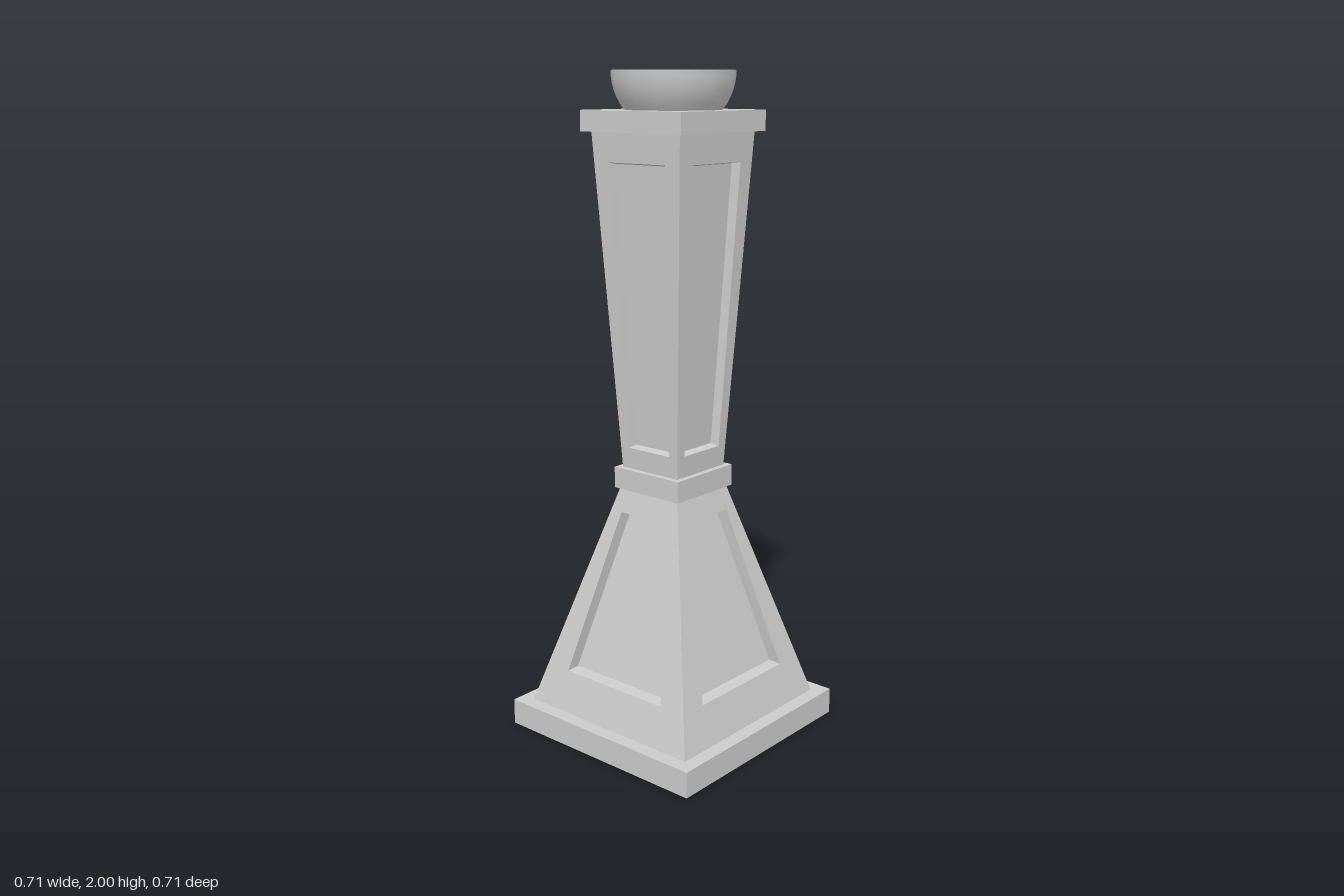
import * as THREE from 'three';
import { toCreasedNormals } from 'three/addons/utils/BufferGeometryUtils.js';

const flat = new THREE.MeshStandardMaterial({ color: 0xcccccc, flatShading: true, side: THREE.DoubleSide });
const smooth = new THREE.MeshStandardMaterial({ color: 0xcccccc, side: THREE.DoubleSide });

function mesh(name, geometry, material = flat) {
  const m = new THREE.Mesh(geometry, material);
  m.name = name;
  return m;
}

function slab(name, half, y0, y1) {
  const m = mesh(name, new THREE.BoxGeometry(half * 2, y1 - y0, half * 2));
  m.position.y = (y0 + y1) / 2;
  return m;
}

// One sloping side facing +z, with a recessed trapezoid panel.
// face and panel are { y0, w0, y1, w1 }: heights and half widths at bottom and top.
function panelledSide(face, panel, depth, inset) {
  const zAt = y => face.w0 + (face.w1 - face.w0) * (y - face.y0) / (face.y1 - face.y0);
  const loop = (t, gap, back) => [
    [-t.w0 + gap, t.y0 + gap], [t.w0 - gap, t.y0 + gap],
    [t.w1 - gap, t.y1 - gap], [-t.w1 + gap, t.y1 - gap],
  ].map(([x, y]) => [x, y, zAt(y) - back]);
  const rings = [loop(face, 0, 0), loop(panel, 0, 0), loop(panel, inset, depth)];
  const positions = [];
  const quad = (a, b, c, d) => positions.push(...a, ...b, ...c, ...a, ...c, ...d);

  for (let r = 0; r < 2; r++) {
    for (let i = 0; i < 4; i++) {
      const j = (i + 1) % 4;
      quad(rings[r][i], rings[r][j], rings[r + 1][j], rings[r + 1][i]);
    }
  }
  quad(...rings[2]); // sunken panel floor

  const g = new THREE.BufferGeometry();
  g.setAttribute('position', new THREE.Float32BufferAttribute(positions, 3));
  g.computeVertexNormals();
  return g;
}

function panelledBlock(name, face, panel, depth, inset) {
  const group = new THREE.Group();
  group.name = name;
  const geometry = panelledSide(face, panel, depth, inset);
  ['Front', 'Left', 'Back', 'Right'].forEach((side, i) => {
    const m = mesh(name + side, geometry);
    m.rotation.y = i * Math.PI / 2;
    group.add(m);
  });
  return group;
}

// Plinth: open underneath, with a ledge around the foot of the base
function plinth() {
  const profile = [[0.355, 0], [0.355, 0.08], [0.311, 0.08]]
    .map(([half, y]) => new THREE.Vector2(half * Math.SQRT2, y));
  const g = new THREE.LatheGeometry(profile, 4, Math.PI / 4).toNonIndexed();
  g.computeVertexNormals();
  return mesh('plinth', g);
}

// Bowl: half sphere with a flat rim and a raised floor
function bowl() {
  const outer = 0.179, inner = 0.162, floorDrop = 0.07, steps = 6;
  const profile = [];
  const arc = (radius, from, to) => {
    for (let i = 0; i <= steps; i++) {
      const drop = from + (to - from) * i / steps;
      profile.push(new THREE.Vector2(Math.sqrt(radius * radius - drop * drop), 2 - drop));
    }
  };
  arc(outer, 0.11, 0);
  arc(inner, 0, floorDrop);
  profile.push(new THREE.Vector2(0, 2 - floorDrop));
  const g = new THREE.LatheGeometry(profile, 14, Math.PI / 2);
  return mesh('bowl', toCreasedNormals(g, 0.6), smooth);
}

export function createModel() {
  const model = new THREE.Group();
  model.name = 'pedestal';
  model.add(
    plinth(),
    panelledBlock('base',
      { y0: 0.08, w0: 0.311, y1: 0.77, w1: 0.114 },
      { y0: 0.2, w0: 0.19, y1: 0.7, w1: 0.092 }, 0.037, 0.005),
    slab('collar', 0.126, 0.77, 0.835),
    panelledBlock('shaft',
      { y0: 0.835, w0: 0.108, y1: 1.835, w1: 0.166 },
      { y0: 0.9, w0: 0.08, y1: 1.745, w1: 0.108 }, 0.028, 0.005),
    slab('cap', 0.188, 1.83, 1.89),
    bowl(),
  );
  return model;
}
